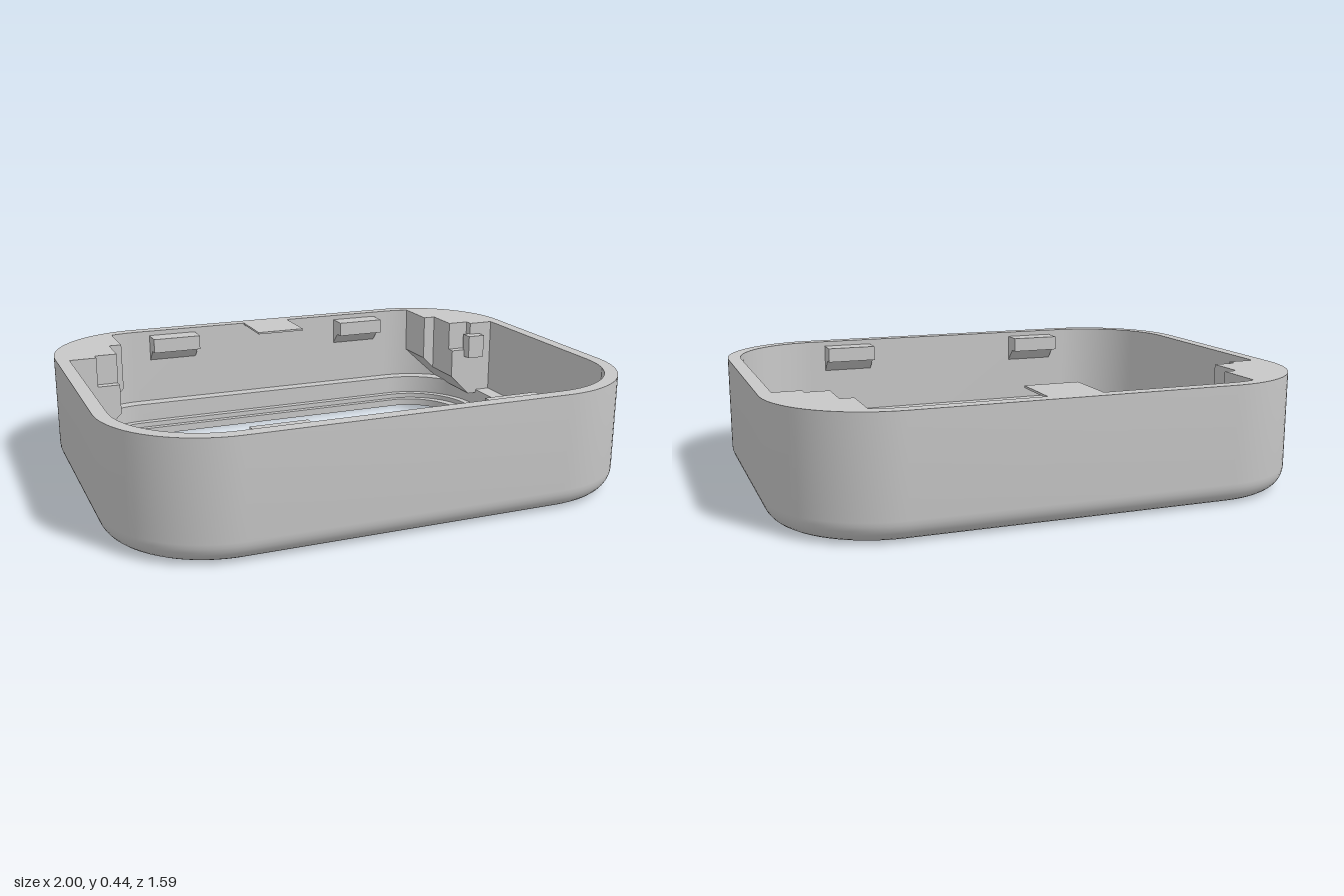
import * as THREE from 'three';
import { mergeVertices, toCreasedNormals } from 'three/addons/utils/BufferGeometryUtils.js';

const HX = 1, HZ = 0.795, R = 0.4, TOP = 0.44, FILLET = 0.08;

// Closed ring: a cross-section of [inset in x, inset in z, y] swept round a rounded rectangle
function ringGeometry(profile, seg = 20) {
  const pos = [], idx = [], m = profile.length, n = 4 * (seg + 1);
  for (let q = 0; q < 4; q++) {
    const sx = q === 0 || q === 3 ? 1 : -1, sz = q < 2 ? 1 : -1;
    for (let k = 0; k <= seg; k++) {
      const t = (q + k / seg) * Math.PI / 2;
      for (const [ix, iz, y] of profile) {
        pos.push(sx * (HX - R) + (R - ix) * Math.cos(t), y, sz * (HZ - R) + (R - iz) * Math.sin(t));
      }
    }
  }
  for (let i = 0; i < n; i++) {
    for (let j = 0; j < m; j++) {
      const i2 = (i + 1) % n, j2 = (j + 1) % m;
      const a = i * m + j, b = i * m + j2, c = i2 * m + j, d = i2 * m + j2;
      idx.push(a, b, c, b, d, c);
    }
  }
  const g = new THREE.BufferGeometry();
  g.setAttribute('position', new THREE.Float32BufferAttribute(pos, 3));
  g.setIndex(idx);
  return toCreasedNormals(mergeVertices(g), 0.4);
}

// Upright block from a plan outline [x, z], with a flat top and an underside y = bottom(x)
function blockGeometry(outline, top, bottom) {
  const shape = new THREE.Shape(outline.map(([x, z]) => new THREE.Vector2(x, -z)));
  const g = new THREE.ExtrudeGeometry(shape, { depth: 1, bevelEnabled: false }).rotateX(-Math.PI / 2);
  const p = g.attributes.position;
  for (let i = 0; i < p.count; i++) {
    p.setY(i, p.getY(i) > 0.5 ? top : bottom(p.getX(i)));
  }
  return toCreasedNormals(g, 0.4);
}

// Plan arc running inside the thickness of a back corner, angles in degrees
function cornerArc(side, from, to, steps = 8) {
  const pts = [];
  for (let k = 0; k <= steps; k++) {
    const t = (from + (to - from) * k / steps) * Math.PI / 180;
    pts.push([side * (0.6 + 0.37 * Math.cos(t)), -0.395 - 0.37 * Math.sin(t)]);
  }
  return pts;
}

export function createModel() {
  const model = new THREE.Group();
  const grey = new THREE.MeshStandardMaterial({ color: 0xc8c8c8 });
  grey.name = 'light grey plastic';
  const add = (name, geometry, parent = model) => {
    const mesh = new THREE.Mesh(geometry, grey);
    mesh.name = name;
    parent.add(mesh);
    return mesh;
  };

  // Frame: filleted outer foot, thin wall, two square steps down to the opening
  const profile = [[0.185, 0.16, 0]];
  for (let k = 0; k <= 8; k++) {
    const a = k / 8 * Math.PI / 2, inset = FILLET * (1 - Math.sin(a));
    profile.push([inset, inset, FILLET * (1 - Math.cos(a))]);
  }
  profile.push([0, 0, TOP], [0.05, 0.05, TOP], [0.05, 0.05, 0.125],
    [0.115, 0.105, 0.125], [0.115, 0.105, 0.05], [0.145, 0.135, 0.05],
    [0.145, 0.135, 0.03], [0.185, 0.16, 0.03]);
  add('frame', ringGeometry(profile));

  // Corner gussets at the back, undersides sloping at 45 degrees
  const slope = (x) => 0.25 + 0.707 - Math.abs(x);
  for (const side of [-1, 1]) {
    const gusset = new THREE.Group();
    gusset.name = side > 0 ? 'leftGusset' : 'rightGusset';
    model.add(gusset);
    const plan = (pts) => pts.map(([x, z]) => [side * x, z]);
    add('gussetOuter', blockGeometry(
      [...plan([[0.845, -0.353], [0.97, -0.353]]), ...cornerArc(side, 0, 48.5)],
      TOP, () => 0.11), gusset);
    add('gussetInner', blockGeometry(
      [...plan([[0.845, -0.388], [0.757, -0.388], [0.757, -0.538], [0.707, -0.538]]), ...cornerArc(side, 73, 48.5)],
      TOP, slope), gusset);
    add('gussetStep', blockGeometry(
      plan([[0.845, -0.388], [0.845, -0.353], [0.757, -0.353], [0.757, -0.388]]), 0.32, slope), gusset);
  }

  // Small stop on one gusset only
  const stop = add('gussetStop', new THREE.BoxGeometry(0.075, 0.1, 0.055));
  stop.position.set(0.855, 0.34, -0.3375);

  // Snap clips on the front and back walls: flat top, short lip, steep foot
  const clipShape = new THREE.Shape([[-0.77, 0.31], [-0.745, 0.31], [-0.695, 0.36], [-0.66, 0.36], [-0.66, 0.42], [-0.77, 0.42]]
    .map(([x, y]) => new THREE.Vector2(x, y)));
  const clip = toCreasedNormals(new THREE.ExtrudeGeometry(clipShape, { depth: 0.205, bevelEnabled: false })
    .translate(0, 0, -0.1025).rotateY(Math.PI / 2), 0.3);
  for (const x of [-0.4375, 0.4375]) {
    add('frontClip', clip).position.x = x;
    const back = add('backClip', clip);
    back.position.x = x;
    back.rotation.y = Math.PI;
  }

  // Thin centre tab reaching in from the back wall
  add('centreTab', new THREE.BoxGeometry(0.206, 0.008, 0.232)).position.set(0, TOP - 0.004, -0.654);
  return model;
}
